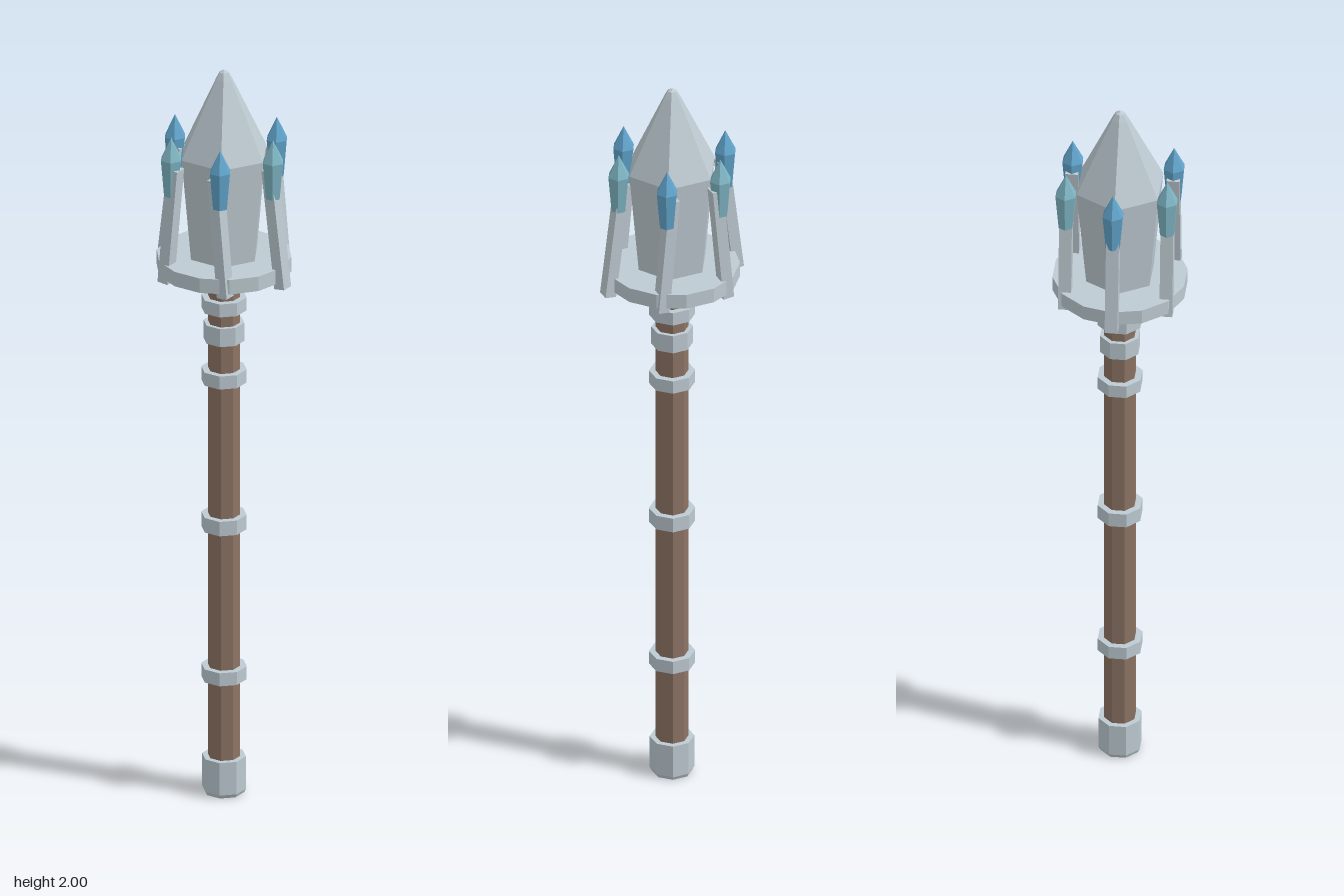
import * as THREE from 'three';

function material(name, color) {
  const m = new THREE.MeshStandardMaterial({ color, flatShading: true });
  m.name = name;
  return m;
}

// Faceted solid from [radius, height] points, with a corner on the x axis
function turned(profile, sides, phase = Math.PI / 2) {
  const points = profile.map(([r, y]) => new THREE.Vector2(r, y));
  return new THREE.LatheGeometry(points, sides, phase);
}

function drum(radius, bottom, top, sides, phase) {
  return turned([[0, bottom], [radius, bottom], [radius, top], [0, top]], sides, phase);
}

export function createModel() {
  const steel = material('pale steel', 0xbecbd2);
  const wood = material('brown wood', 0x8d7465);
  const blue = material('blue crystal', 0x61a5cc);
  const teal = material('teal crystal', 0x7fb6c4);

  const model = new THREE.Group();
  model.name = 'mace';
  const add = (name, geometry, mat, parent = model) => {
    const mesh = new THREE.Mesh(geometry, mat);
    mesh.name = name;
    parent.add(mesh);
    return mesh;
  };

  // Octagonal handle, pommel and bands
  const flat = Math.PI / 8;
  add('shaft', drum(0.042, 0.02, 1.45, 8, flat), wood);
  add('pommel', turned([[0, 0], [0.052, 0], [0.057, 0.01], [0.057, 0.1], [0, 0.1]], 8, flat), steel);
  const bands = [
    [0.332, 0.036, 0.059], [0.75, 0.04, 0.059], [1.155, 0.036, 0.059],
    [1.277, 0.05, 0.053], [1.355, 0.036, 0.059],
  ];
  for (const [y, height, radius] of bands) {
    add('band', drum(radius, y - height / 2, y + height / 2, 8, flat), steel);
  }

  // Six-sided head with a blunt tip, on a fourteen-sided plate
  add('head', turned([
    [0, 1.43], [0.078, 1.43], [0.09, 1.45], [0.12, 1.77],
    [0.022, 1.975], [0.012, 1.993], [0, 2],
  ], 6), steel);
  add('plate', drum(0.173, 1.45, 1.49, 14), steel);

  // Six struts leaning inward along x, each holding a crystal
  const crystal = turned([[0, 1.68], [0.02, 1.68], [0.029, 1.78], [0, 1.84]], 6);
  for (let i = 0; i < 6; i++) {
    const angle = i * Math.PI / 3;
    const x = 0.15 * Math.cos(angle);
    const z = 0.15 * Math.sin(angle);
    const side = Math.sign(x);
    const prong = new THREE.Group();
    prong.name = 'prong';
    prong.position.set(x, 0, z);
    model.add(prong);

    const strut = add('strut', new THREE.BoxGeometry(0.03, 0.32, 0.033), steel, prong);
    const bottom = Math.abs(x) > 0.1 ? 0.03 : 0.016;
    const top = Math.abs(x) > 0.1 ? -0.01 : -0.014;
    strut.position.set(side * (bottom + top) / 2, 1.597, 0);
    strut.rotation.z = side * Math.atan((bottom - top) / 0.32);
    add('crystal', crystal, i % 2 ? blue : teal, prong);
  }

  return model;
}
